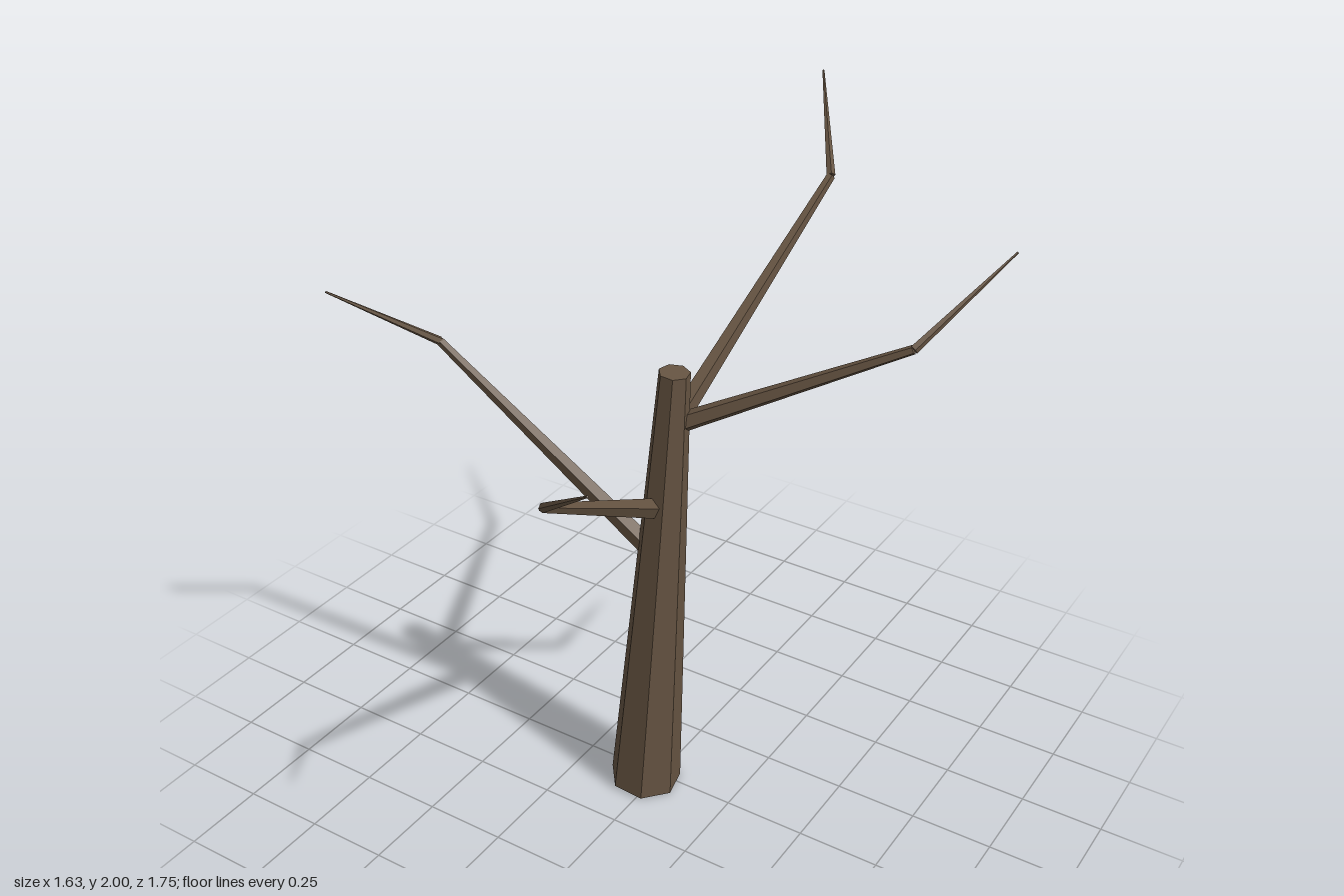
import * as THREE from 'three';

const UP = new THREE.Vector3(0, 1, 0);

export function createModel() {
  const tree = new THREE.Group();
  tree.name = 'bareTree';
  const bark = new THREE.MeshStandardMaterial({ color: 0x665442, flatShading: true });
  bark.name = 'bark brown';

  // Tapered limb running from one point to another
  function limb(name, from, to, r0, r1, sides, parent) {
    const a = new THREE.Vector3(...from);
    const b = new THREE.Vector3(...to);
    const axis = b.clone().sub(a);
    const geometry = new THREE.CylinderGeometry(r1, r0, axis.length(), sides, 1, false, Math.PI);
    const mesh = new THREE.Mesh(geometry, bark);
    mesh.name = name;
    mesh.position.copy(a).add(b).multiplyScalar(0.5);
    mesh.quaternion.setFromUnitVectors(UP, axis.normalize());
    parent.add(mesh);
  }

  // Leaning seven-sided trunk
  limb('trunk', [-0.03, 0.008, 0.033], [0.07, 1.445, 0.035], 0.109, 0.044, 7, tree);

  // Branches: root inside the trunk, elbow, tip of the twig
  const branches = [
    ['rightBranch', [0.0, 0.85, 0.03], [-0.64, 1.39, 0.14], [-0.815, 1.595, 0.39]],
    ['frontBranch', [0.02, 1.0, 0.03], [0.12, 1.39, 0.7], [0.372, 1.595, 0.873]],
    ['backBranch', [0.02, 1.2, 0.02], [0.17, 1.8, -0.62], [0, 2, -0.875]],
    ['leftBranch', [0.03, 1.26, 0.03], [0.665, 1.595, -0.15], [0.81, 1.795, -0.42]],
  ];
  for (const [name, root, elbow, tip] of branches) {
    const branch = new THREE.Group();
    branch.name = name;
    limb('bough', root, elbow, 0.031, 0.013, 5, branch);
    limb('twig', elbow, tip, 0.013, 0.003, 5, branch);
    tree.add(branch);
  }
  return tree;
}
